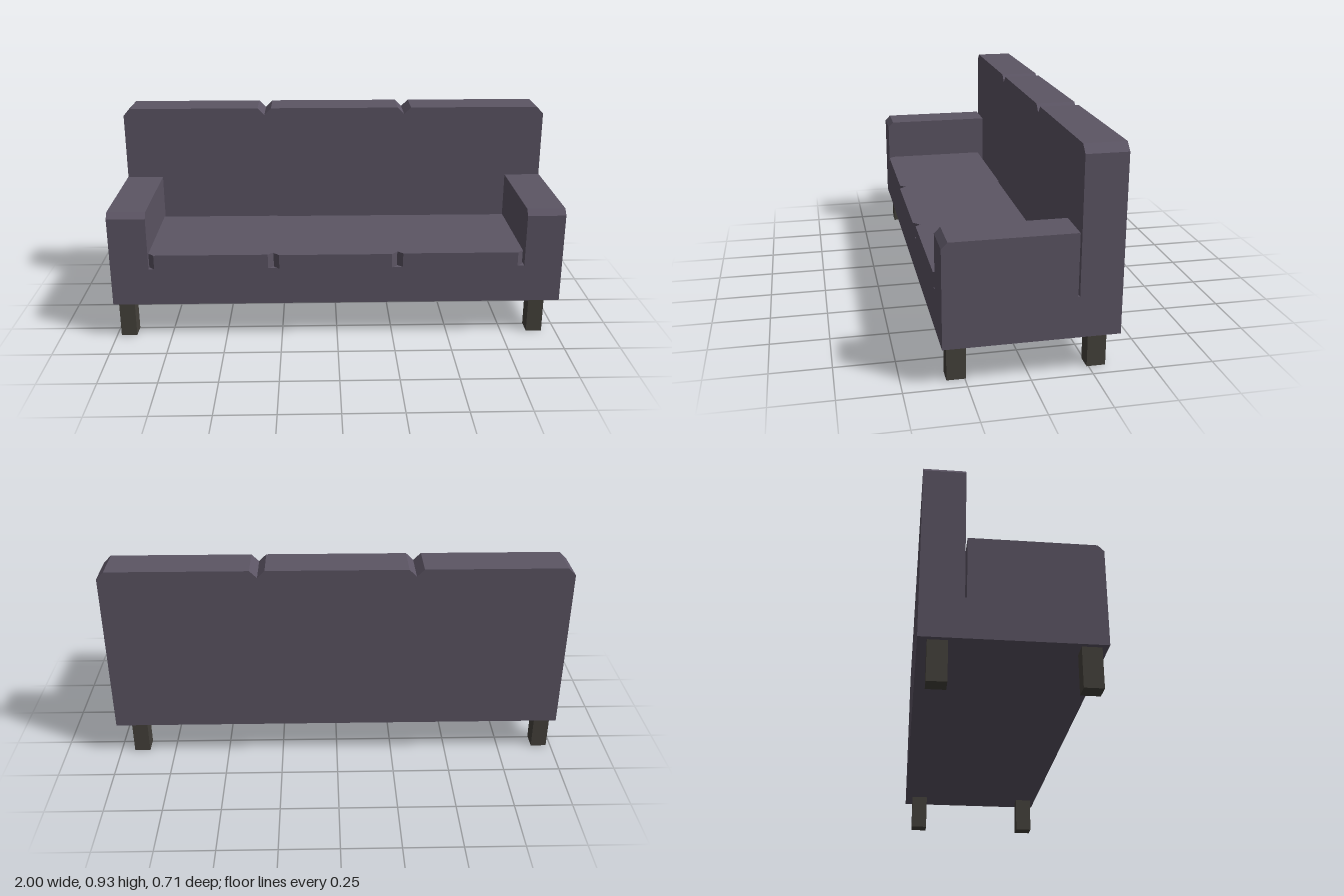
import * as THREE from 'three';

const fabric = new THREE.MeshStandardMaterial({ color: 0x5c5564 });
const wood = new THREE.MeshStandardMaterial({ color: 0x45423c });

// Extrudes an outline, centred on its depth
function slab(points, depth) {
  const shape = new THREE.Shape(points.map(([x, y]) => new THREE.Vector2(x, y)));
  const geometry = new THREE.ExtrudeGeometry(shape, { depth, bevelEnabled: false });
  return geometry.translate(0, 0, -depth / 2);
}

export function createModel() {
  const sofa = new THREE.Group();
  sofa.name = 'sofa';

  function add(name, geometry, material, x, y, z) {
    const mesh = new THREE.Mesh(geometry, material);
    mesh.name = name;
    mesh.position.set(x, y, z);
    sofa.add(mesh);
  }

  // Base
  add('base', new THREE.BoxGeometry(2, 0.17, 0.702), fabric, 0, 0.25, -0.004);

  // Backrest: one slab with bevelled top corners on each of its three sections
  const section = 2 / 3, bevel = 0.032, top = 0.93;
  const outline = [[-1, 0.335], [1, 0.335]];
  for (let i = 2; i >= 0; i--) {
    const left = -1 + i * section, right = left + section;
    outline.push([right, top - bevel], [right - bevel, top], [left + bevel, top]);
  }
  outline.push([-1, top - bevel]);
  add('backrest', slab(outline, 0.17), fabric, 0, 0, -0.27);

  // Armrests: bevelled along the top front edge
  const armProfile = [[-0.178, 0.335], [0.347, 0.335], [0.347, 0.57], [0.322, 0.595], [-0.178, 0.595]];
  for (const side of [-1, 1]) {
    const arm = slab(armProfile, 0.168).rotateY(-Math.PI / 2);
    add(side > 0 ? 'leftArmrest' : 'rightArmrest', arm, fabric, side * 0.916, 0, 0);
  }

  // Seat cushions: bevelled front corners
  const cushions = [
    ['rightSeatCushion', -0.832, -0.281, -0.15, 0.349],
    ['middleSeatCushion', -0.281, 0.266, -0.145, 0.355],
    ['leftSeatCushion', 0.266, 0.826, -0.145, 0.349],
  ];
  for (const [name, x0, x1, back, front] of cushions) {
    const c = 0.025;
    const plan = [[x0, back], [x1, back], [x1, front - c], [x1 - c, front], [x0 + c, front], [x0, front - c]];
    add(name, slab(plan, 0.065).rotateX(Math.PI / 2), fabric, 0, 0.3675, 0);
  }

  // Legs
  for (const [side, x] of [['right', -0.945], ['left', 0.903]]) {
    for (const [end, z] of [['Front', 0.284], ['Back', -0.281]]) {
      add(`${side}${end}Leg`, new THREE.BoxGeometry(0.07, 0.165, 0.077), wood, x, 0.0825, z);
    }
  }

  return sofa;
}
